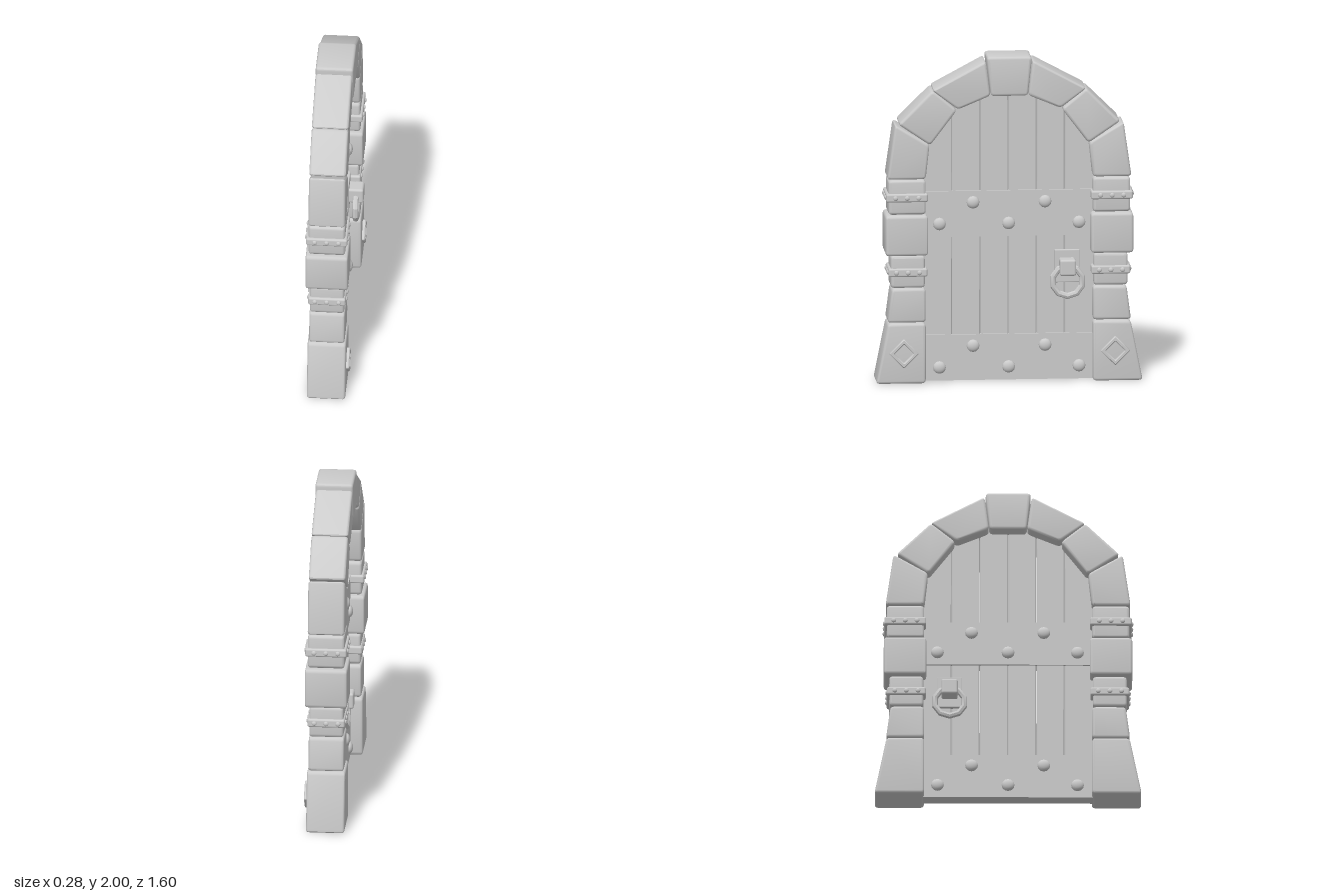
import * as THREE from 'three';
import { toCreasedNormals } from 'three/addons/utils/BufferGeometryUtils.js';
import { RoundedBoxGeometry } from 'three/addons/geometries/RoundedBoxGeometry.js';

const material = new THREE.MeshStandardMaterial({ color: 0xcccccc });

function add(parent, name, geometry, x = 0, y = 0, z = 0) {
  const mesh = new THREE.Mesh(geometry, material);
  mesh.name = name;
  mesh.position.set(x, y, z);
  parent.add(mesh);
  return mesh;
}

// Closed outline through [z, y] points with softened corners
function outline(points, radius) {
  const shape = new THREE.Shape();
  const v = points.map(([z, y]) => new THREE.Vector2(z, y));
  v.forEach((p, i) => {
    const towards = (q) => p.clone().add(q.clone().sub(p).setLength(radius));
    const a = towards(v[(i + v.length - 1) % v.length]);
    const b = towards(v[(i + 1) % v.length]);
    if (i === 0) shape.moveTo(a.x, a.y);
    else shape.lineTo(a.x, a.y);
    if (radius > 0.002) shape.quadraticCurveTo(p.x, p.y, b.x, b.y);
  });
  shape.closePath();
  return shape;
}

// Slab standing in the z-y plane, centred on x = 0, with bevelled edges
function slab(shape, thickness, bevel, segments = 3) {
  const geometry = new THREE.ExtrudeGeometry(shape, {
    depth: thickness - 2 * bevel, curveSegments: 3, bevelEnabled: bevel > 0,
    bevelThickness: bevel, bevelSize: bevel, bevelOffset: -bevel, bevelSegments: segments,
  });
  geometry.translate(0, 0, bevel - thickness / 2).rotateY(-Math.PI / 2);
  return toCreasedNormals(geometry, 0.65);
}

// Domed rivet, its axis along +x before turning
function rivet(parent, name, radius, x, y, z, turn) {
  const dome = new THREE.SphereGeometry(radius, 12, 5, 0, Math.PI * 2, 0, Math.PI / 2);
  dome.scale(1, 0.6, 1).rotateZ(-Math.PI / 2).rotateY(turn);
  add(parent, name, dome, x, y, z);
}

// Stones of one side: outline in [z, y] and thickness
const stones = [
  ['baseStone', 0.232, [[0.505, 0.005], [0.805, 0.005], [0.732, 0.373], [0.505, 0.373]]],
  ['lowerStone', 0.214, [[0.505, 0.378], [0.735, 0.378], [0.708, 0.585], [0.505, 0.585]]],
  ['bandedStone', 0.206, [[0.51, 0.59], [0.715, 0.59], [0.715, 0.787], [0.51, 0.787]]],
  ['wideStone', 0.255, [[0.492, 0.79], [0.748, 0.79], [0.748, 1.035], [0.492, 1.035]]],
  ['upperBandedStone', 0.22, [[0.505, 1.04], [0.73, 1.04], [0.73, 1.252], [0.505, 1.252]]],
  ['springerStone', 0.222, [[0.505, 1.256], [0.738, 1.256], [0.69, 1.592], [0.482, 1.468]]],
  ['haunchStone', 0.222, [[0.478, 1.463], [0.672, 1.595], [0.464, 1.8], [0.316, 1.676]]],
  ['crownStone', 0.222, [[0.31, 1.68], [0.468, 1.8], [0.142, 1.975], [0.114, 1.762]]],
];

function buildArch(root) {
  const arch = new THREE.Group();
  arch.name = 'stoneArch';
  root.add(arch);
  for (const s of [1, -1]) {
    for (const [name, thickness, points] of stones) {
      const flipped = points.map(([z, y]) => [z * s, y]);
      add(arch, name, slab(outline(flipped, 0.022), thickness, 0.016), -0.003);
    }
    // Riveted metal bands
    for (const [y, width, inner, outer] of [[0.685, 0.226, 0.495, 0.73], [1.145, 0.25, 0.493, 0.745]]) {
      const middle = (inner + outer) / 2;
      add(arch, 'metalBand', new RoundedBoxGeometry(width, 0.052, outer - inner, 2, 0.012), -0.003, y, s * middle);
      for (const k of [-1, 0, 1]) {
        for (const f of [1, -1]) {
          rivet(arch, 'bandRivet', 0.015, f * width / 2 - 0.003, y, s * middle + k * 0.07, f > 0 ? 0 : Math.PI);
        }
        rivet(arch, 'bandRivet', 0.015, k * 0.072 - 0.003, y, s * outer, -s * Math.PI / 2);
      }
    }
    // Diamond ornament on the outer face of the base stone
    const diamond = (r) => [[r, 0], [0, r], [-r, 0], [0, -r]];
    const frame = outline(diamond(0.09), 0.008);
    frame.holes.push(outline(diamond(0.058), 0.004));
    add(arch, 'diamondFrame', slab(frame, 0.03, 0.005, 1), 0.117, 0.192, s * 0.638);
  }
  const key = [[-0.112, 1.76], [0.112, 1.76], [0.137, 2], [-0.137, 2]];
  add(arch, 'keystone', slab(outline(key, 0.022), 0.228, 0.016), -0.001);
}

function buildDoor(root) {
  const door = new THREE.Group();
  door.name = 'door';
  root.add(door);
  // Planks cut to follow the arch
  const edges = [[0, 1.84], [0.17, 1.82], [0.34, 1.72], [0.53, 1.5]];
  for (const s of [1, -1]) {
    for (let i = 0; i < 3; i++) {
      const [[a, ya], [b, yb]] = [edges[i], edges[i + 1]];
      const points = [[s * a, 0.015], [s * b, 0.015], [s * b, yb], [s * a, ya]];
      add(door, 'plank', slab(outline(points, 0.001), 0.066, 0.007, 1));
    }
  }
  // Cross bars with staggered rivets on both faces
  for (const y of [0.15, 1.03]) {
    add(door, 'crossBar', new THREE.BoxGeometry(0.09, 0.28, 1.04), 0, y, 0);
    for (const f of [1, -1]) {
      const spots = [[0.215, 0.07], [-0.22, 0.07], [0.418, -0.06], [0, -0.06], [-0.425, -0.06]];
      for (const [z, dy] of spots) {
        rivet(door, 'barRivet', 0.039, f * 0.045, y + dy, z, f > 0 ? 0 : Math.PI);
      }
    }
  }
}

function buildHandle(root, f) {
  const handle = new THREE.Group();
  handle.name = 'ringHandle';
  handle.position.z = -0.352;
  root.add(handle);
  add(handle, 'handlePlate', new RoundedBoxGeometry(0.03, 0.2, 0.152, 1, 0.005), f * 0.04, 0.702, 0);
  add(handle, 'handleBlock', new RoundedBoxGeometry(0.105, 0.1, 0.098, 2, 0.014), f * 0.089, 0.705, 0);
  const ring = new THREE.TorusGeometry(0.092, 0.019, 8, 10).rotateZ(Math.PI / 10).rotateY(Math.PI / 2);
  add(handle, 'ring', toCreasedNormals(ring, 0.4), f * 0.095, 0.618, 0);
}

export function createModel() {
  const root = new THREE.Group();
  root.name = 'archedDoor';
  buildArch(root);
  buildDoor(root);
  for (const f of [1, -1]) buildHandle(root, f);
  return root;
}
